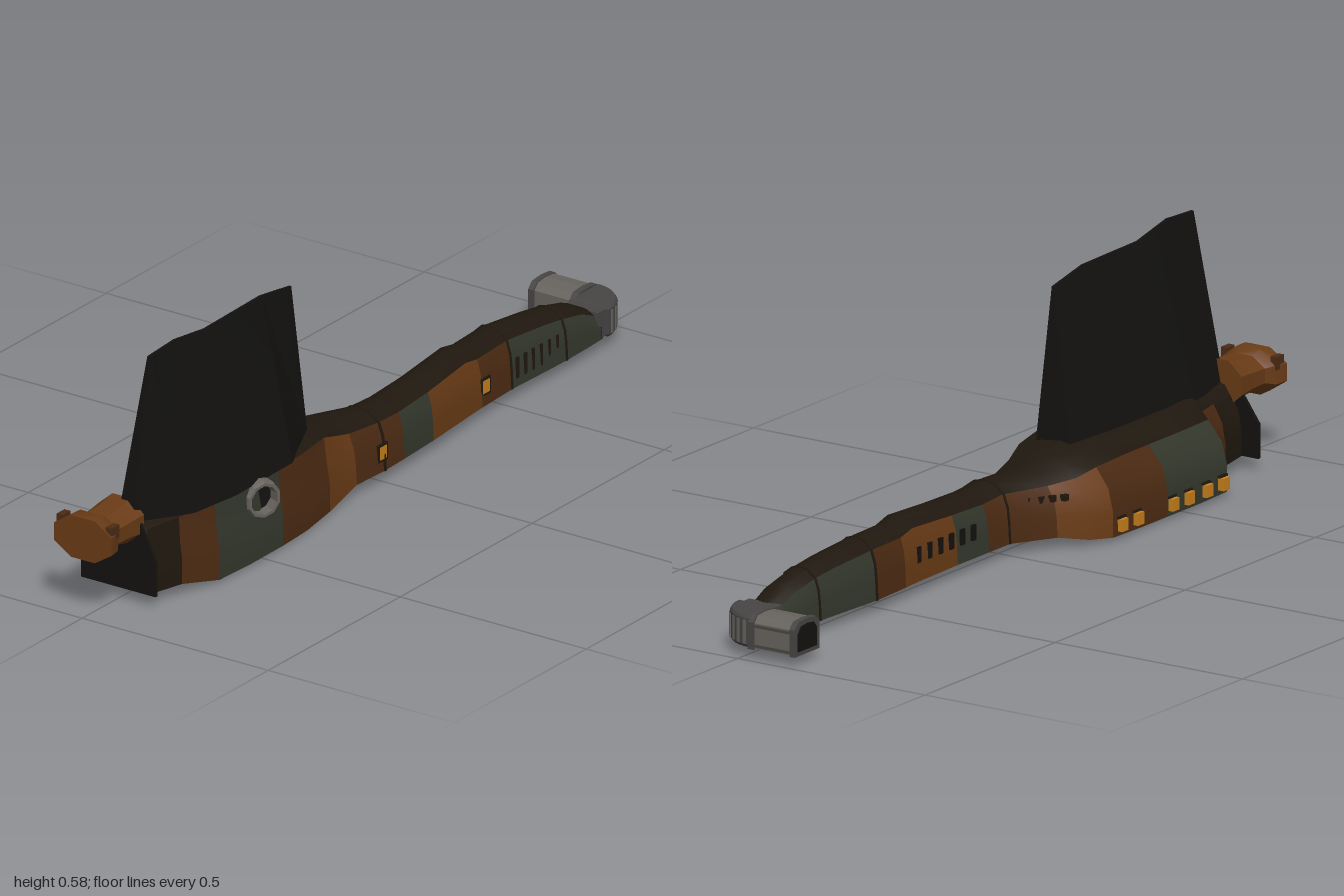
import * as THREE from 'three';
import { toCreasedNormals } from 'three/addons/utils/BufferGeometryUtils.js';

const RUST = 0x4c2b13, ORANGE = 0x693b16, GREEN = 0x34382c, DARK = 0x20180f,
  BLACK = 0x131210, GREY = 0x67635e, STEEL = 0x474645, GLOW = 0xc8801c;

function mat(color) {
  return new THREE.MeshStandardMaterial({ color, side: THREE.DoubleSide });
}

function add(parent, name, geometry, color, x = 0, y = 0, z = 0) {
  const mesh = new THREE.Mesh(geometry, mat(color));
  mesh.name = name;
  mesh.position.set(x, y, z);
  parent.add(mesh);
  return mesh;
}

const box = (w, h, d) => new THREE.BoxGeometry(w, h, d);

// Skin between consecutive rings of [x, y, z]; closed rings, optional end caps
function loft(rings, closed, caps, crease = 0.6) {
  const n = rings[0].length, idx = [];
  for (let s = 0; s < rings.length - 1; s++) {
    for (let i = 0; i < (closed ? n : n - 1); i++) {
      const j = (i + 1) % n, a = s * n + i, b = s * n + j;
      idx.push(a, a + n, b, b, a + n, b + n);
    }
  }
  if (caps) {
    const e = (rings.length - 1) * n;
    for (let i = 1; i < n - 1; i++) idx.push(0, i, i + 1, e, e + i + 1, e + i);
  }
  const g = new THREE.BufferGeometry();
  g.setAttribute('position', new THREE.Float32BufferAttribute(rings.flat(2), 3));
  g.setIndex(idx);
  g.computeVertexNormals();
  return toCreasedNormals(g, crease);
}

// Hull outline from front foot over the roof to back foot: [across, height]
const WIDE = [[0, 0], [0, 0.35], [0.03, 0.58], [0.045, 0.9], [0.25, 0.97], [0.45, 1],
  [0.7, 0.92], [0.82, 0.78], [0.95, 0.56], [1, 0.3], [1, 0]];
const ARCH = [[0, 0], [0.02, 0.35], [0.05, 0.6], [0.13, 0.82], [0.3, 0.95], [0.5, 1],
  [0.7, 0.96], [0.87, 0.82], [0.95, 0.6], [0.98, 0.35], [1, 0]];

// Stations: x, front z, back z, floor y, roof y, arch amount, wall colour up to the next one
const STATIONS = [
  [-0.86, 0.08, -0.055, 0.03, 0.2, 0, DARK],
  [-0.77, 0.105, -0.072, 0.03, 0.205, 0, RUST],
  [-0.705, 0.123, -0.095, 0.018, 0.21, 0, RUST],
  [-0.665, 0.132, -0.15, 0.01, 0.21, 0, GREEN],
  [-0.55, 0.137, -0.155, 0.01, 0.21, 0, GREEN],
  [-0.43, 0.136, -0.155, 0.01, 0.21, 0, RUST],
  [-0.33, 0.13, -0.155, 0.01, 0.21, 0, RUST],
  [-0.22, 0.113, -0.155, 0.012, 0.207, 0.2, ORANGE],
  [-0.16, 0.104, -0.135, 0.018, 0.187, 0.5, ORANGE],
  [-0.1, 0.1, -0.09, 0.03, 0.17, 0.8, RUST],
  [0, 0.104, -0.032, 0.03, 0.165, 1, RUST],
  [0.08, 0.101, -0.032, 0.03, 0.16, 1, GREEN],
  [0.2, 0.094, -0.032, 0.03, 0.165, 1, ORANGE],
  [0.36, 0.08, -0.036, 0.03, 0.177, 1, ORANGE],
  [0.41, 0.076, -0.04, 0.03, 0.166, 1, RUST],
  [0.53, 0.07, -0.045, 0.03, 0.167, 1, GREEN],
  [0.66, 0.074, -0.037, 0.03, 0.155, 1, GREEN],
  [0.73, 0.075, -0.033, 0.03, 0.145, 1, GREEN],
  [0.81, 0.073, -0.03, 0.03, 0.125, 1, GREEN],
  [0.87, 0.07, -0.025, 0.03, 0.093, 1, GREEN],
];

function ring([x, zf, zb, y0, y1, t]) {
  return WIDE.map((w, i) => {
    const u = w[0] + (ARCH[i][0] - w[0]) * t, v = w[1] + (ARCH[i][1] - w[1]) * t;
    return [x, y0 + (y1 - y0) * v, zf + (zb - zf) * u];
  });
}

function buildHull(g) {
  const rings = STATIONS.map(ring), n = WIDE.length;
  const strip = (a, b, from, to) => loft(rings.slice(a, b + 1).map(r => r.slice(from, to + 1)), false, false);
  const last = rings.length - 1;
  add(g, 'hullRoof', strip(0, last, 3, n - 4), DARK);
  // Painted side walls, one piece per run of equal colour
  for (let a = 0; a < last;) {
    let b = a + 1;
    while (b < last && STATIONS[b][6] === STATIONS[a][6]) b++;
    add(g, 'frontWall', strip(a, b, 0, 3), STATIONS[a][6]);
    add(g, 'backWall', strip(a, b, n - 4, n - 1), STATIONS[a][6]);
    a = b;
  }
  add(g, 'hullFloor', loft(rings.map(r => [r[n - 1], r[0]]), false, false), RUST);
  add(g, 'endWall', loft([rings[last], rings[last].map(([x, y, z]) => [x + 0.002, y, z])], true, true), BLACK);
  // Dark plate closing the -x end, wider at its foot
  const plate = [-0.864, -0.856].map(x => [[x, 0.03, 0.1], [x, 0.11, 0.1], [x, 0.195, 0.06],
    [x, 0.195, -0.04], [x, 0.11, -0.1], [x, 0.03, -0.1]]);
  add(g, 'rearPlate', loft(plate, true, true), BLACK);
}

// Tall wedge, lens-shaped in plan: base x, top x, front z, back z, top y, ridge z
function buildFin(g) {
  const rings = [
    [-0.867, -0.825, 0.042, 0, 0.58, 0.054],
    [-0.73, -0.725, 0.112, -0.033, 0.585, 0.053],
    [-0.6, -0.6, 0.13, -0.042, 0.565, 0.045],
    [-0.38, -0.38, 0.126, -0.042, 0.565, 0.039],
    [-0.228, -0.26, 0.058, -0.035, 0.545, 0.034],
  ].map(([xb, xt, zf, zb, y, z]) => [[xb, 0.188, zf], [xt, y, z + 0.003], [xt, y, z - 0.003], [xb, 0.188, zb]]);
  add(g, 'tallFin', loft(rings, true, true, 0.3), BLACK);
}

// Flared neck at the -x end: x, half height, half width
function buildNeck(g) {
  const rings = [[-0.998, 0.05, 0.078], [-0.965, 0.052, 0.072], [-0.945, 0.04, 0.056],
    [-0.9, 0.043, 0.056], [-0.85, 0.052, 0.06]].map(([x, h, w]) => {
    const r = [];
    for (let i = 0; i < 8; i++) {
      const a = Math.PI / 2 - (i + 0.5) * Math.PI / 4;
      r.push([x, 0.191 + Math.cos(a) * h * 1.08, Math.sin(a) * w * 1.08]);
    }
    return r;
  });
  add(g, 'flaredNeck', loft(rings, true, true), ORANGE);
  for (const s of [-1, 1]) add(g, 'neckLug', box(0.03, 0.03, 0.016), RUST, -0.978, 0.217, s * 0.066);
}

// Ribbed elbow turning from +x to -z, ending in an arched duct
function buildElbow(g) {
  const bend = new THREE.Shape();
  bend.absarc(0, 0, 0.09, 0, Math.PI / 2, false);
  bend.absarc(0, 0, 0.006, Math.PI / 2, 0, true);
  const geo = new THREE.ExtrudeGeometry(bend, { depth: 0.06, bevelEnabled: true, bevelSize: 0.004,
    bevelThickness: 0.006, bevelSegments: 1, curveSegments: 8 });
  geo.rotateX(Math.PI / 2);
  add(g, 'elbow', geo, STEEL, 0.893, 0.094, -0.02);
  add(g, 'elbowCollar', box(0.04, 0.064, 0.088), STEEL, 0.878, 0.063, 0.023);
  for (let i = 0; i < 7; i++) {
    const a = (i + 0.5) / 7 * Math.PI / 2;
    const rib = add(g, 'elbowRib', box(0.006, 0.054, 0.008), GREY,
      0.893 + Math.cos(a) * 0.093, 0.063, -0.02 + Math.sin(a) * 0.093);
    rib.rotation.y = -a;
  }
  // Arched duct section of half width w and crown height h, running from z0 towards +z
  const arch = (name, w, h, foot, z0, length, color) => {
    const s = new THREE.Shape([[-w, foot], [w, foot], [w, h - 0.018], [w * 0.7, h - 0.003], [0, h],
      [-w * 0.7, h - 0.003], [-w, h - 0.018]].map(p => new THREE.Vector2(...p)));
    add(g, name, new THREE.ExtrudeGeometry(s, { depth: length, bevelEnabled: false }), color, 0.942, 0, z0);
  };
  arch('duct', 0.044, 0.104, 0.028, -0.14, 0.12, GREY);
  arch('ductFlange', 0.048, 0.106, 0.026, -0.035, 0.016, STEEL);
  arch('ductFlange', 0.048, 0.106, 0.026, -0.145, 0.014, STEEL);
  arch('ductOpening', 0.036, 0.095, 0.036, -0.147, 0.003, BLACK);
  for (const y of [0.035, 0.08]) add(g, 'ductRail', box(0.005, 0.006, 0.1), STEEL, 0.987, y, -0.085);
}

// Stubby open barrel on the front wall, pointing forward and towards -x
function buildBarrel(g) {
  const barrel = new THREE.Group();
  barrel.name = 'sideBarrel';
  const profile = [[0.038, 0], [0.045, 0.01], [0.045, 0.104], [0.041, 0.112], [0.034, 0.112], [0.032, 0.08], [0, 0.08]]
    .map(p => new THREE.Vector2(...p));
  add(barrel, 'barrelShell', toCreasedNormals(new THREE.LatheGeometry(profile, 10), 0.5), GREY);
  add(barrel, 'barrelCore', new THREE.CylinderGeometry(0.032, 0.032, 0.004, 10), BLACK, 0, 0.084, 0);
  barrel.rotation.set(Math.PI / 2, 0, 0.4);
  barrel.position.set(-0.475, 0.152, 0.046);
  g.add(barrel);
}

function buildDetails(g) {
  // Lit windows along the back wall
  for (const x of [-0.64, -0.575, -0.505, -0.445, -0.31, -0.25]) {
    add(g, 'backWindow', box(0.024, 0.028, 0.018), GLOW, x, 0.036, -0.158);
    add(g, 'windowSill', box(0.03, 0.005, 0.008), DARK, x, 0.053, -0.155);
  }
  // Lit windows on the front wall
  for (const [x, z] of [[-0.005, 0.101], [0.425, 0.072]]) {
    add(g, 'frontWindow', box(0.024, 0.03, 0.008), GLOW, x, 0.075, z);
    add(g, 'windowFrame', box(0.036, 0.042, 0.005), DARK, x, 0.075, z);
  }
  // Vent slots on the back of the long arm
  for (let i = 0; i < 6; i++) add(g, 'ventSlot', box(0.014, 0.036, 0.006), BLACK, 0.14 + i * 0.042, 0.09, -0.032);
  // Ribs round the front of the arm's end sections
  for (let i = 0; i < 6; i++) add(g, 'armRib', box(0.008, 0.05, 0.005), DARK, 0.55 + i * 0.03, 0.075, 0.07);
  // Seam hoops
  for (const i of [10, 15, 17]) {
    const hoop = [-0.003, 0.003].map(d => ring(STATIONS[i]).map(([x, y, z]) =>
      [x + d, 0.03 + (y - 0.03) * 1.015, 0.02 + (z - 0.02) * 1.04]));
    add(g, 'seamHoop', loft(hoop, true, true), DARK);
  }
  // Small blocks where the hull narrows into the arm
  for (let i = 0; i < 4; i++) {
    add(g, 'shoulderBlock', box(0.014, 0.014, 0.014), DARK, -0.12 + i * 0.022, 0.118, -0.094 + i * 0.017);
  }
  // Keel blocks under the hull
  for (let i = 0; i < 8; i++) {
    for (const z of [0.095, -0.1]) add(g, 'keelBlock', box(0.04, 0.01, 0.03), RUST, -0.62 + i * 0.05, 0.008 + (i % 2) * 0.002, z);
  }
}

export function createModel() {
  const model = new THREE.Group();
  model.name = 'armoredVessel';
  for (const build of [buildHull, buildFin, buildNeck, buildElbow, buildBarrel, buildDetails]) {
    const part = new THREE.Group();
    part.name = build.name.slice(5).toLowerCase();
    build(part);
    model.add(part);
  }
  return model;
}
